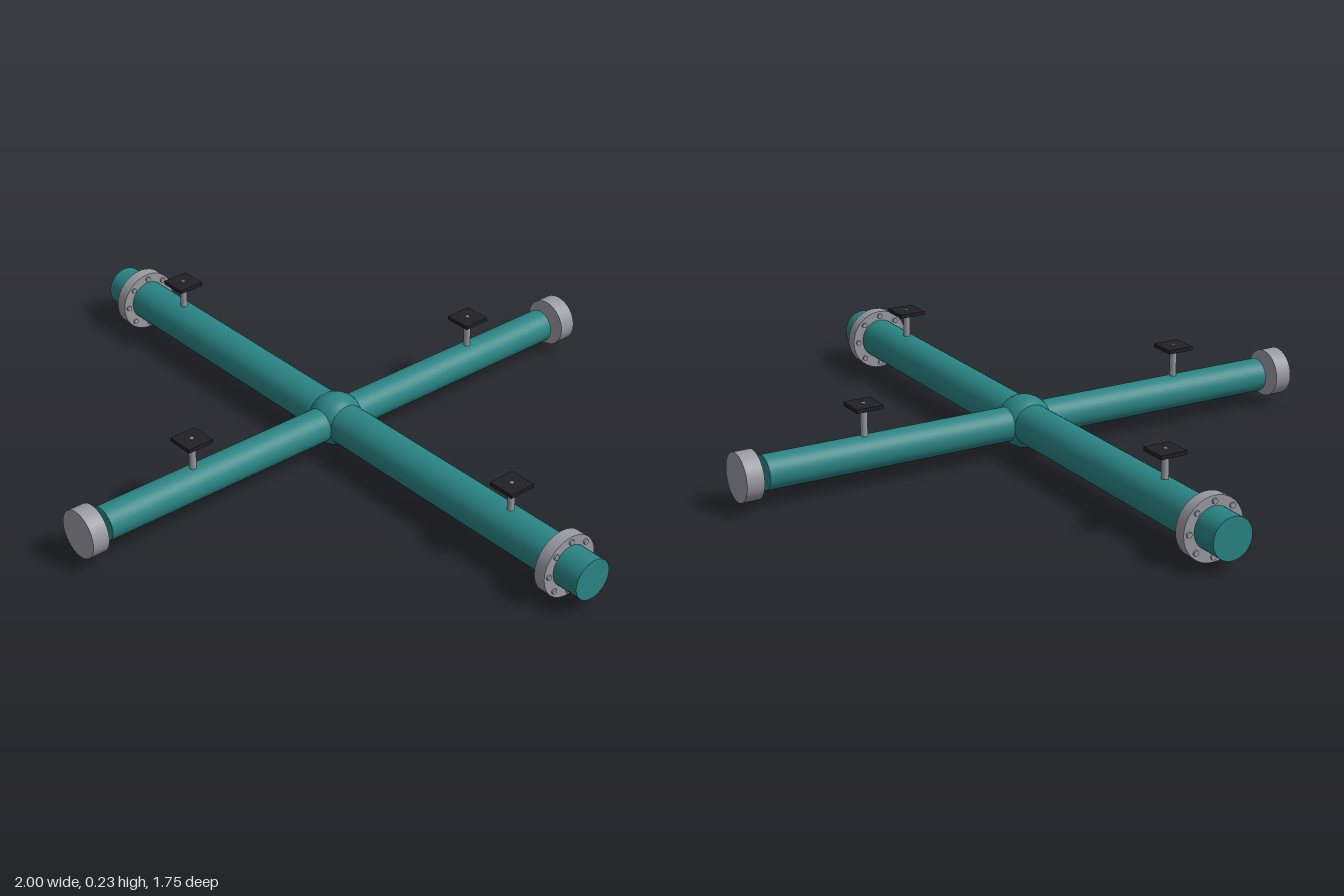
import * as THREE from 'three';

const AXIS_Y = 0.09;

const paint = (color) => new THREE.MeshStandardMaterial({ color });

export function createModel() {
  const model = new THREE.Group();
  const teal = paint(0x2a8484);
  const steel = paint(0x9a9aa2);
  const dark = paint(0x202026);

  const add = (parent, name, geometry, material, x = 0, y = 0, z = 0) => {
    const mesh = new THREE.Mesh(geometry, material);
    mesh.name = name;
    mesh.position.set(x, y, z);
    parent.add(mesh);
    return mesh;
  };
  const rod = (r, length, sides = 32) => new THREE.CylinderGeometry(r, r, length, sides);
  const alongX = (geometry) => geometry.rotateZ(Math.PI / 2);
  const alongZ = (geometry) => geometry.rotateX(Math.PI / 2);

  // Crossing pipes and the round hub where they meet
  add(model, 'mainPipe', alongX(rod(0.059, 2)), teal, 0, AXIS_Y + 0.003);
  add(model, 'branchPipe', alongZ(rod(0.049, 1.6)), teal, 0, AXIS_Y + 0.002);
  add(model, 'hub', new THREE.SphereGeometry(0.076, 32, 20), teal, 0, AXIS_Y + 0.002);

  // Bolted flange near each end of the main pipe
  const flange = (x) => {
    const group = new THREE.Group();
    group.name = 'flange';
    group.position.set(x, AXIS_Y, 0);
    add(group, 'flangeRing', alongX(rod(0.09, 0.036)), steel);
    for (let i = 0; i < 8; i++) {
      const a = (i / 8) * Math.PI * 2;
      add(group, 'bolt', alongX(rod(0.008, 0.047, 8)), steel,
        0, 0.075 * Math.sin(a), 0.075 * Math.cos(a));
    }
    model.add(group);
  };

  // Stem with a square plate on top
  const valve = (x, z) => {
    const group = new THREE.Group();
    group.name = 'valve';
    group.position.set(x, 0, z);
    add(group, 'stem', rod(0.01, 0.1, 16), steel, 0, 0.175);
    add(group, 'handlePlate', new THREE.BoxGeometry(0.08, 0.011, 0.08), dark, 0, 0.2265);
    add(group, 'plateScrew', rod(0.006, 0.012, 12), steel, 0, 0.229);
    model.add(group);
  };

  for (const side of [-1, 1]) {
    flange(side * 0.9);
    valve(side * 0.7, 0);
    valve(0, side * 0.5);
    // End cap standing just clear of the branch pipe
    add(model, 'endCap', alongZ(rod(0.069, 0.05)), steel, 0, AXIS_Y + 0.003, side * 0.85);
  }
  return model;
}
